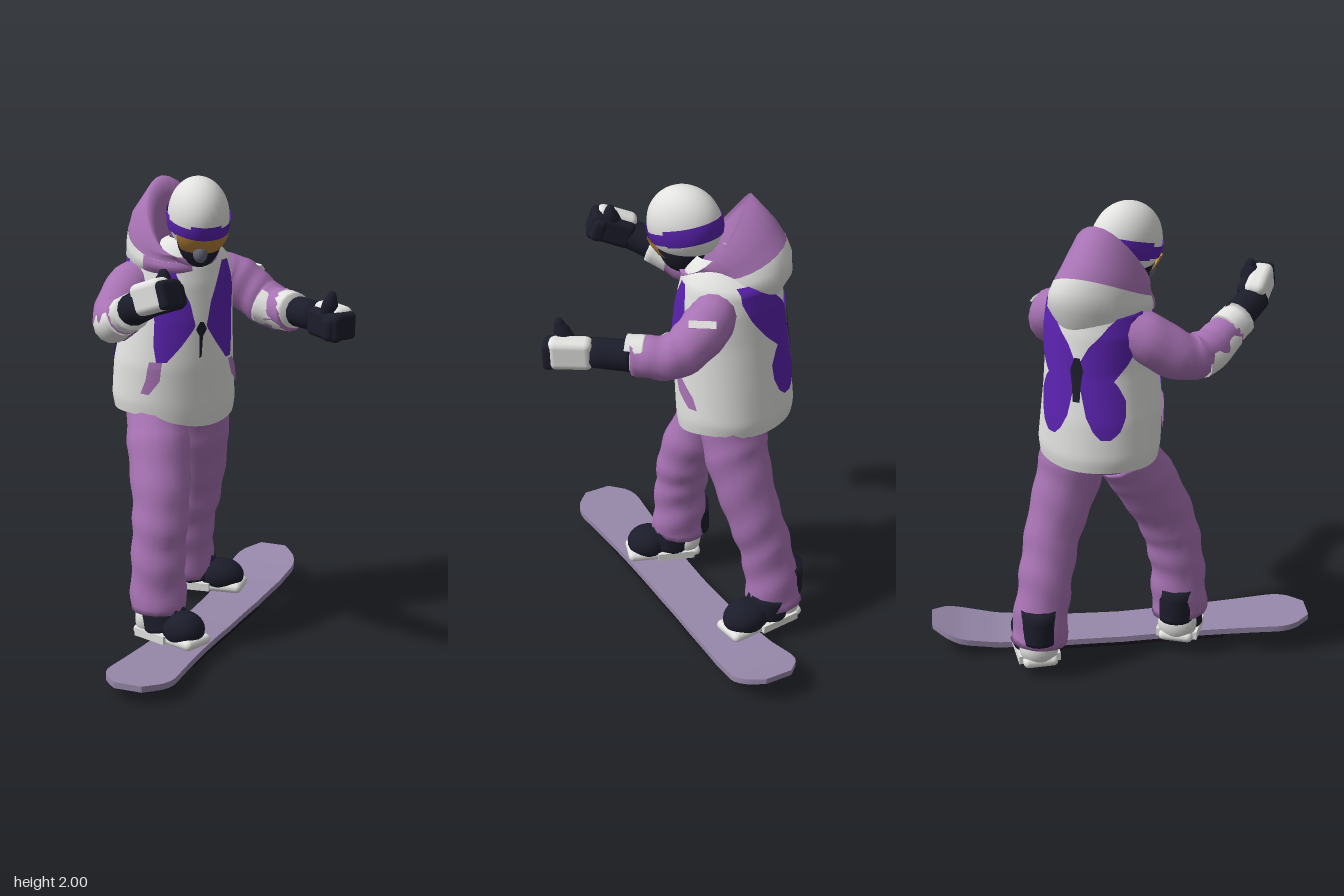
import * as THREE from 'three';
import { RoundedBoxGeometry } from 'three/addons/geometries/RoundedBoxGeometry.js';

const mat = (name, color, side = THREE.FrontSide) => {
  const m = new THREE.MeshStandardMaterial({ color, side });
  m.name = name;
  return m;
};

export function createModel() {
  const lilac = mat('lilac cloth', 0xa873b4, THREE.DoubleSide);
  const white = mat('white', 0xe2e2e0, THREE.DoubleSide);
  const violet = mat('violet', 0x5a22ae, THREE.DoubleSide);
  const navy = mat('navy', 0x1c1d2b);
  const amber = mat('amber lens', 0xb9853a, THREE.DoubleSide);
  const mauve = mat('mauve board', 0x9788aa);
  const black = mat('black base', 0x17131a);
  const grey = mat('grey', 0x66677a);

  const root = new THREE.Group();
  root.name = 'snowboarder';
  const add = (name, geo, material, parent = root) => {
    const m = new THREE.Mesh(geo, material);
    m.name = name;
    parent.add(m);
    return m;
  };

  // Surface grid from fn(u, v, row) -> [x, y, z]; wrap closes it around u
  const grid = (nu, nv, fn, wrap = false) => {
    const pos = [], idx = [], w = wrap ? nu : nu + 1;
    for (let j = 0; j <= nv; j++) for (let i = 0; i < w; i++) pos.push(...fn(i / nu, j / nv, j));
    for (let j = 0; j < nv; j++) for (let i = 0; i < nu; i++) {
      const a = j * w + i, b = j * w + (i + 1) % w;
      idx.push(a, b, b + w, a, b + w, a + w);
    }
    const g = new THREE.BufferGeometry();
    g.setAttribute('position', new THREE.Float32BufferAttribute(pos, 3));
    g.setIndex(idx);
    g.computeVertexNormals();
    return g;
  };

  // Limb: closed tube through [x, y, z, radius] points, with optional cloth folds
  const limb = (pts, fold = 0, steps = 20, sides = 14) => {
    const curve = new THREE.CatmullRomCurve3(pts.map(p => new THREE.Vector3(p[0], p[1], p[2])));
    const f = curve.computeFrenetFrames(steps);
    return grid(sides, steps + 2, (u, v, j) => {
      const k = Math.min(Math.max(j - 1, 0), steps), t = k / steps;
      const s = t * (pts.length - 1), n = Math.min(Math.floor(s), pts.length - 2);
      let r = THREE.MathUtils.lerp(pts[n][3], pts[n + 1][3], s - n);
      const a = u * Math.PI * 2;
      r *= 1 + fold * Math.sin(t * 36 + 2.2 * Math.sin(a)) * (0.2 + t);
      if (j === 0 || j === steps + 2) r = 0;
      const p = curve.getPoint(t);
      p.addScaledVector(f.normals[k], r * Math.cos(a)).addScaledVector(f.binormals[k], r * Math.sin(a));
      return p.toArray();
    }, true);
  };
  const ball = (name, material, pos, scale, parent = root) => {
    const m = add(name, new THREE.SphereGeometry(1, 24, 16), material, parent);
    m.position.set(...pos);
    m.scale.set(...scale);
  };

  // Snowboard: a box bent along its length
  const heights = [[-0.84, 0.085], [-0.6, 0.075], [-0.3, 0.062], [0, 0.047], [0.3, 0.047], [0.55, 0.062], [0.7, 0.09], [0.84, 0.135]];
  const table = (rows, t) => {
    let n = 0;
    while (n < rows.length - 2 && t > rows[n + 1][0]) n++;
    const a = rows[n], b = rows[n + 1], k = THREE.MathUtils.clamp((t - a[0]) / (b[0] - a[0]), 0, 1);
    return a.map((x, i) => x + (b[i] - x) * k);
  };
  const boardStrip = (t0, t1, top, thick, widthScale) => {
    const g = new THREE.BoxGeometry(2, thick, 2, 6, 1, 56), p = g.attributes.position;
    for (let i = 0; i < p.count; i++) {
      const t = THREE.MathUtils.lerp(t0, t1, (1 - p.getZ(i)) / 2);
      const end = Math.max(0, (Math.abs(t) - 0.67) / 0.16);
      const half = (0.114 + 0.07 * t * t) * Math.sqrt(Math.max(0.14, 1 - end * end)) * widthScale;
      const s = p.getX(i) * half;
      p.setXYZ(i, 0.572 * t + 0.82 * s, table(heights, t)[1] + top - thick / 2 + p.getY(i), -0.82 * t + 0.572 * s);
    }
    g.computeVertexNormals();
    return g;
  };
  add('snowboard', boardStrip(-0.83, 0.83, 0, 0.026, 1), mauve);
  add('boardBase', boardStrip(-0.44, 0.32, -0.025, 0.02, 0.96), black);

  // Boots with bindings
  for (const [side, x, y, z, yaw, len] of [['right', -0.195, 0.058, 0.19, 0.63, 0.33], ['left', 0.085, 0.05, -0.42, 1.08, 0.37]]) {
    const b = new THREE.Group();
    b.name = side + 'Boot';
    b.position.set(x, y, z);
    b.rotation.y = yaw;
    root.add(b);
    add('sole', new RoundedBoxGeometry(0.15, 0.045, len, 2, 0.022), white, b).position.y = 0.022;
    ball('toe', navy, [0, 0.065, len * 0.2], [0.088, 0.075, len * 0.29], b);
    ball('heel', white, [0, 0.075, -len * 0.33], [0.085, 0.085, len * 0.2], b);
    add('shaft', limb([[0, 0.045, -0.03, 0.096], [0, 0.14, -0.05, 0.096]], 0, 4), navy, b);
    add('backGaiter', limb([[0, 0.11, -0.144, 0.07], [0, 0.26, -0.136, 0.076]], 0, 4), navy, b);
    for (const s of [-1, 1]) {
      const rail = add('bindingRail', new THREE.BoxGeometry(0.02, 0.035, len * 0.5), white, b);
      rail.position.set(s * 0.08, 0.025, -0.05);
    }
  }

  // Trousers
  add('rightLeg', limb([[-0.19, 1.0, -0.16, 0.125], [-0.2, 0.85, -0.045, 0.136], [-0.215, 0.62, 0.075, 0.122],
    [-0.235, 0.42, 0.117, 0.115], [-0.24, 0.18, 0.13, 0.12]], 0.04, 40), lilac);
  add('leftLeg', limb([[0, 1.02, -0.24, 0.145], [0.02, 0.85, -0.27, 0.138], [0.033, 0.6, -0.35, 0.118],
    [0.012, 0.38, -0.415, 0.113], [0.01, 0.13, -0.455, 0.12]], 0.04, 40), lilac);
  ball('hips', lilac, [-0.1, 1.02, -0.19], [0.235, 0.11, 0.21]);

  // Jacket body: [y, centre x, centre z, radius x, radius z]
  const body = [[0.99, -0.1, -0.2, 0.255, 0.235], [1.04, -0.1, -0.2, 0.264, 0.243], [1.2, -0.1, -0.19, 0.255, 0.243],
    [1.4, -0.087, -0.18, 0.232, 0.228], [1.55, -0.085, -0.18, 0.23, 0.213], [1.64, -0.08, -0.182, 0.212, 0.195],
    [1.7, -0.06, -0.15, 0.14, 0.13], [1.73, -0.05, -0.13, 0.08, 0.08]];
  const skin = (a, y, lift = 0) => {
    const [, cx, cz, rx, rz] = table(body, y);
    const k = 1 + 0.012 * Math.sin(5 * a + 9 * y);
    const dip = 0.05 * Math.max(0, Math.cos(a - 0.4)) ** 3 * THREE.MathUtils.clamp((1.15 - y) / 0.15, 0, 1);
    return [cx + (rx * k + lift) * Math.sin(a), y - dip, cz + (rz * k + lift) * Math.cos(a)];
  };
  add('jacket', grid(40, 37, (u, v) => skin(u * Math.PI * 2, 0.99 + 0.74 * v), true), white);

  // Panels that follow the jacket: rows of [y, angle from, angle to], bottom first
  const panel = (name, material, centre, rows, lift = 0.007) =>
    add(name, grid(10, 24, (u, v) => {
      const [y, a, b] = table(rows, THREE.MathUtils.lerp(rows[0][0], rows[rows.length - 1][0], v));
      return skin(centre + a + (b - a) * u, y, lift);
    }), material);
  const pair = (name, centre, rows) => {
    panel(name, violet, centre, rows);
    panel(name, violet, centre, rows.map(([y, a, b]) => [y, -b, -a]));
  };
  const front = 0.22, back = Math.PI + 0.44;
  pair('frontWing', front, [[1.23, 0.55, 0.72], [1.3, 0.32, 0.8], [1.38, 0.1, 0.83], [1.48, 0.2, 0.87], [1.56, 0.36, 0.85], [1.64, 0.55, 0.75]]);
  pair('backUpperWing', back, [[1.37, 0.02, 0.6], [1.44, 0.02, 0.9], [1.52, 0.2, 1.15], [1.6, 0.55, 1.32], [1.66, 0.95, 1.35]]);
  pair('backLowerWing', back, [[1.14, 0.4, 0.56], [1.17, 0.28, 0.7], [1.23, 0.16, 0.8], [1.3, 0.1, 0.82], [1.36, 0.05, 0.7], [1.41, 0.02, 0.5]]);
  panel('backButterflyBody', navy, back, [[1.29, -0.06, 0.06], [1.36, -0.08, 0.08], [1.42, -0.12, 0.12], [1.47, -0.05, 0.05]], 0.012);
  panel('frontButterflyBody', navy, front, [[1.25, -0.02, 0.02], [1.34, -0.03, 0.03], [1.37, -0.1, 0.1], [1.4, -0.03, 0.03]], 0.012);
  panel('rightPocket', lilac, 0, [[1.09, -0.75, -0.6], [1.15, -0.66, -0.42], [1.23, -0.62, -0.4]]);
  panel('leftPocket', lilac, 0, [[1.1, 1.2, 1.38], [1.15, 0.95, 1.3], [1.22, 0.85, 1.02]]);

  // Hood: rings of [y, rise at back, centre x, centre z, radius x, radius z], tighter at the front
  const rings = [[1.58, -0.02, -0.1, -0.18, 0.165, 0.2], [1.61, 0.05, -0.108, -0.18, 0.195, 0.25], [1.63, 0.11, -0.11, -0.18, 0.19, 0.245],
    [1.645, 0.15, -0.11, -0.175, 0.185, 0.225], [1.665, 0.19, -0.105, -0.16, 0.182, 0.195], [1.66, 0.31, -0.07, -0.1, 0.165, 0.16],
    [1.63, 0.27, -0.06, -0.09, 0.14, 0.13], [1.6, 0.06, -0.06, -0.1, 0.1, 0.1]];
  const turn = 0.42;
  const hood = (name, material, from, to, a0, a1) => add(name, grid(30, to - from, (u, v, j) => {
    const [y, rise, cx, cz, rx, rz] = rings[from + j];
    const a = turn + a0 + (a1 - a0) * u, b = (1 - Math.cos(a - turn)) / 2;
    const k = 1 - 0.17 * (1 - b) ** 2;
    return [cx + rx * k * Math.sin(a), y + rise * b ** 1.9, cz + rz * k * Math.cos(a)];
  }), material);
  hood('hoodBackLower', white, 0, 3, 1.4, Math.PI * 2 - 1.4);
  hood('hoodCollar', lilac, 0, 3, -1.4, 1.4);
  hood('hoodUpper', lilac, 3, 7, 0, Math.PI * 2);

  // Head, helmet and goggles
  const head = new THREE.Group();
  head.name = 'head';
  head.position.set(-0.035, 1.84, 0.003);
  root.add(head);
  ball('face', navy, [0, -0.085, 0.01], [0.093, 0.13, 0.105], head);
  ball('mask', grey, [-0.015, -0.14, 0.098], [0.03, 0.042, 0.04], head);
  const dome = add('helmet', new THREE.SphereGeometry(1, 28, 18, 0, Math.PI * 2, 0, 2.25), white, head);
  dome.scale.set(0.126, 0.16, 0.16);
  const band = (name, material, phi, spread, th, thLen, s) => {
    const m = add(name, new THREE.SphereGeometry(1, 28, 6, phi, spread, th, thLen), material, head);
    m.geometry.scale(...s);
    m.rotation.x = 0.25;
  };
  band('goggleStrap', violet, 0, Math.PI * 2, 1.57, 0.32, [0.131, 0.165, 0.165]);
  band('goggleStrapBack', violet, Math.PI - 0.2, Math.PI + 0.4, 1.47, 0.47, [0.132, 0.166, 0.166]);
  band('goggleFrame', violet, Math.PI / 2 - 0.5, 1, 1.48, 0.36, [0.132, 0.167, 0.169]);
  band('goggleLens', amber, Math.PI / 2 - 1.0, 2.0, 1.8, 0.5, [0.136, 0.175, 0.178]);

  // Sleeves, pale forearm panels, cuffs and gloves
  const arms = [
    { side: 'right', inner: 1, thumbTop: 0.1,
      sleeve: [[-0.19, 1.57, -0.18, 0.09], [-0.3, 1.52, -0.12, 0.105], [-0.385, 1.43, 0.01, 0.1], [-0.4, 1.44, 0.12, 0.086], [-0.38, 1.49, 0.25, 0.075]],
      patch: [[-0.408, 1.415, 0.06, 0.083], [-0.41, 1.43, 0.13, 0.078], [-0.392, 1.475, 0.24, 0.07]],
      hem: [[-0.383, 1.485, 0.23, 0.078], [-0.372, 1.52, 0.32, 0.075]],
      cuff: [[-0.372, 1.52, 0.3, 0.068], [-0.34, 1.575, 0.44, 0.064]],
      hand: [-0.305, 1.605, 0.48], aim: [0.5, 0.35, 0.85] },
    { side: 'left', inner: -1, thumbTop: 0.135,
      sleeve: [[0.06, 1.57, -0.2, 0.085], [0.175, 1.52, -0.2, 0.105], [0.295, 1.425, -0.115, 0.097], [0.365, 1.42, 0.045, 0.08]],
      patch: [[0.26, 1.43, -0.1, 0.078], [0.322, 1.405, -0.04, 0.074], [0.352, 1.405, 0.03, 0.07]],
      hem: [[0.343, 1.43, -0.01, 0.078], [0.366, 1.43, 0.065, 0.075]],
      cuff: [[0.375, 1.425, 0.04, 0.066], [0.425, 1.43, 0.19, 0.062]],
      hand: [0.46, 1.425, 0.275], aim: [0.35, -0.03, 0.94] },
  ];
  for (const { side, inner, thumbTop, sleeve, patch, hem, cuff, hand, aim } of arms) {
    add(side + 'Sleeve', limb(sleeve, 0.035, 26), lilac);
    add(side + 'ForearmPanel', limb(patch), white);
    add(side + 'SleeveHem', limb(hem, 0, 4), white);
    add(side + 'Cuff', limb(cuff, 0, 4), navy);
    const g = new THREE.Group();
    g.name = side + 'Glove';
    g.position.set(...hand);
    g.lookAt(hand[0] + aim[0], hand[1] + aim[1], hand[2] + aim[2]);
    root.add(g);
    add('gloveBack', new RoundedBoxGeometry(0.088, 0.13, 0.18, 3, 0.03), white, g).position.set(-inner * 0.016, 0.008, -0.01);
    add('palm', new RoundedBoxGeometry(0.055, 0.12, 0.2, 3, 0.026), navy, g).position.set(inner * 0.035, -0.006, 0.004);
    add('fingertips', new RoundedBoxGeometry(0.1, 0.115, 0.05, 2, 0.02), navy, g).position.set(-inner * 0.006, 0, 0.078);
    add('curledFingers', new RoundedBoxGeometry(0.055, 0.1, 0.06, 2, 0.024), navy, g).position.set(inner * 0.055, -0.01, 0.06);
    add('thumb', limb([[inner * 0.02, 0.03, 0, 0.036], [inner * 0.03, thumbTop * 0.65, 0.03, 0.032], [inner * 0.028, thumbTop, 0.04, 0.014]], 0, 8, 10), navy, g);
  }

  // Pale stripe on the left upper sleeve
  const stripe = add('sleeveStripe', new THREE.BoxGeometry(0.11, 0.03, 0.009), white);
  stripe.position.set(0.262, 1.572, -0.22);
  stripe.lookAt(0.262 + 0.75, 1.572 + 0.66, -0.22 - 0.3);
  return root;
}
